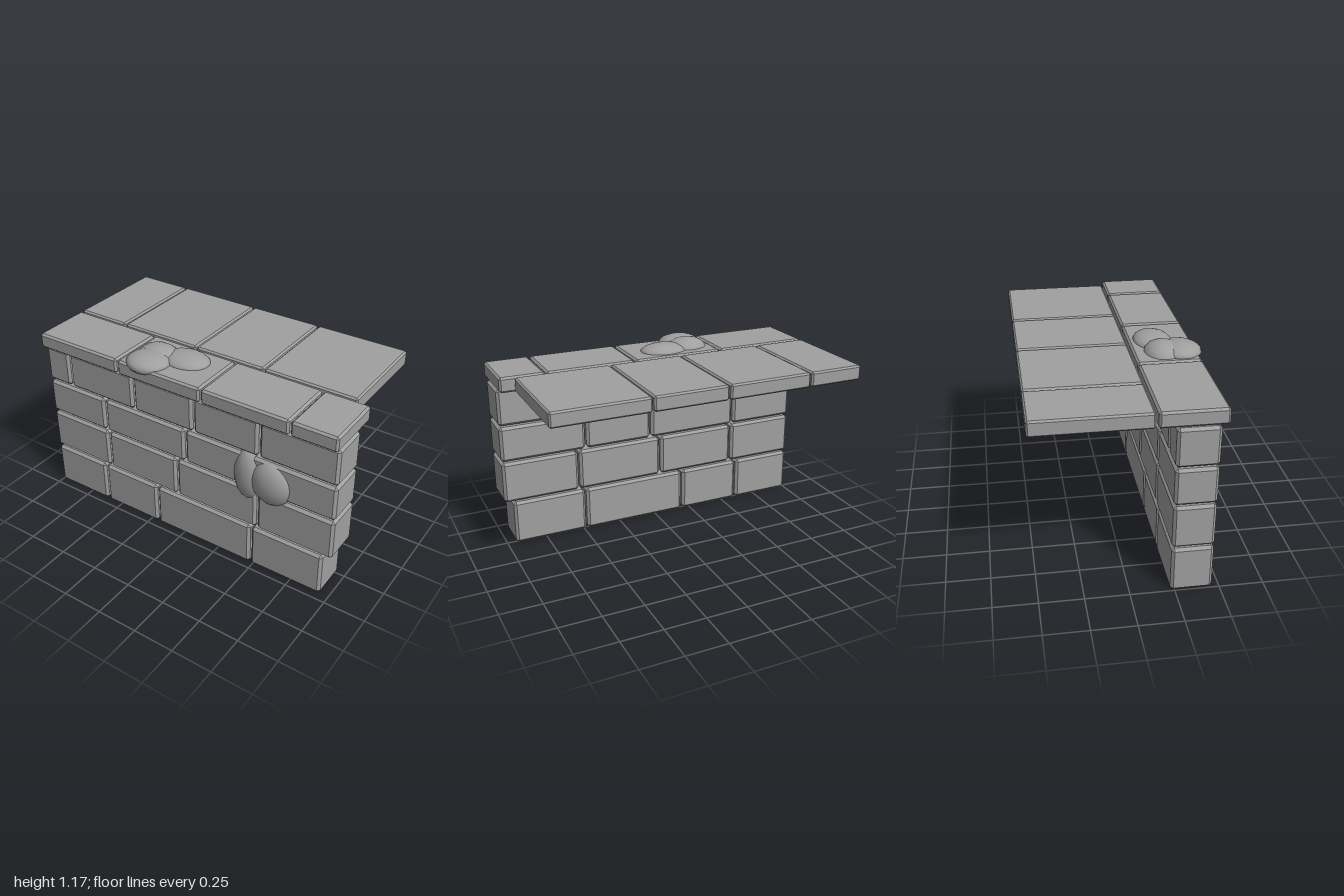
import * as THREE from 'three';
import { ConvexGeometry } from 'three/addons/geometries/ConvexGeometry.js';

const stone = new THREE.MeshStandardMaterial({ color: 0xa0a0a0 });
stone.name = 'grey stone';

// Box with flat chamfered edges, given by its extents
function block(name, x0, x1, y0, y1, z0, z1, c = 0.016) {
  const half = [(x1 - x0) / 2, (y1 - y0) / 2, (z1 - z0) / 2];
  const points = [];
  for (const sx of [-1, 1]) for (const sy of [-1, 1]) for (const sz of [-1, 1]) {
    for (let face = 0; face < 3; face++) {
      const h = half.map((v, axis) => (axis === face ? v : v - c));
      points.push(new THREE.Vector3(sx * h[0], sy * h[1], sz * h[2]));
    }
  }
  const mesh = new THREE.Mesh(new ConvexGeometry(points), stone);
  mesh.name = name;
  mesh.position.set((x0 + x1) / 2, (y0 + y1) / 2, (z0 + z1) / 2);
  return mesh;
}

// A course of blocks side by side; spans are [start, end] along x
function course(name, spans, y0, y1, z0, z1, c) {
  const group = new THREE.Group();
  group.name = name;
  spans.forEach(([a, b], i) => group.add(block(`${name}Block${i + 1}`, a, b, y0, y1, z0, z1, c)));
  return group;
}

// Rounded lump, an ellipsoid with soft shading
function lump(name, position, radii, tilt = 0) {
  const mesh = new THREE.Mesh(new THREE.IcosahedronGeometry(1, 2), stone);
  mesh.name = name;
  mesh.position.set(...position);
  mesh.scale.set(...radii);
  mesh.rotation.y = tilt;
  return mesh;
}

export function createModel() {
  const model = new THREE.Group();
  model.name = 'stoneWallWithLedge';

  // Wall courses from the ground up
  const courses = [
    [0, 0.275, [[-1, -0.607], [-0.597, -0.2], [-0.19, 0.475], [0.485, 0.945]]],
    [0.285, 0.543, [[-1, -0.56], [-0.55, -0.043], [-0.033, 0.512], [0.522, 1]]],
    [0.553, 0.772, [[-1, -0.57], [-0.56, 0.023], [0.033, 0.46], [0.47, 1]]],
    [0.782, 1.01, [[-1, -0.827], [-0.817, -0.34], [-0.33, 0.083], [0.093, 0.515], [0.525, 1]]],
  ];
  courses.forEach(([y0, y1, spans], i) =>
    model.add(course(`wallCourse${i + 1}`, spans, y0, y1, 0.225, 0.458)));

  // Coping along the top of the wall, and the paving behind it
  model.add(course('coping',
    [[-1, -0.415], [-0.405, 0.16], [0.17, 0.718], [0.728, 1]], 1.018, 1.11, 0.13, 0.495, 0.012));
  model.add(course('paving',
    [[-1, -0.66], [-0.65, -0.13], [-0.12, 0.332], [0.342, 0.915]], 1.02, 1.11, -0.525, 0.115, 0.01));

  // Lumps on the wall face
  model.add(lump('wallLumpTall', [0.45, 0.63, 0.43], [0.092, 0.17, 0.065]));
  model.add(lump('wallLumpRound', [0.6, 0.63, 0.435], [0.132, 0.142, 0.075]));

  // Lumps lying on the coping
  model.add(lump('topLumpFront', [-0.25, 1.108, 0.4], [0.135, 0.055, 0.122]));
  model.add(lump('topLumpBack', [-0.25, 1.092, 0.3], [0.135, 0.077, 0.112]));
  model.add(lump('topLumpSide', [-0.08, 1.105, 0.27], [0.15, 0.05, 0.113]));

  return model;
}
